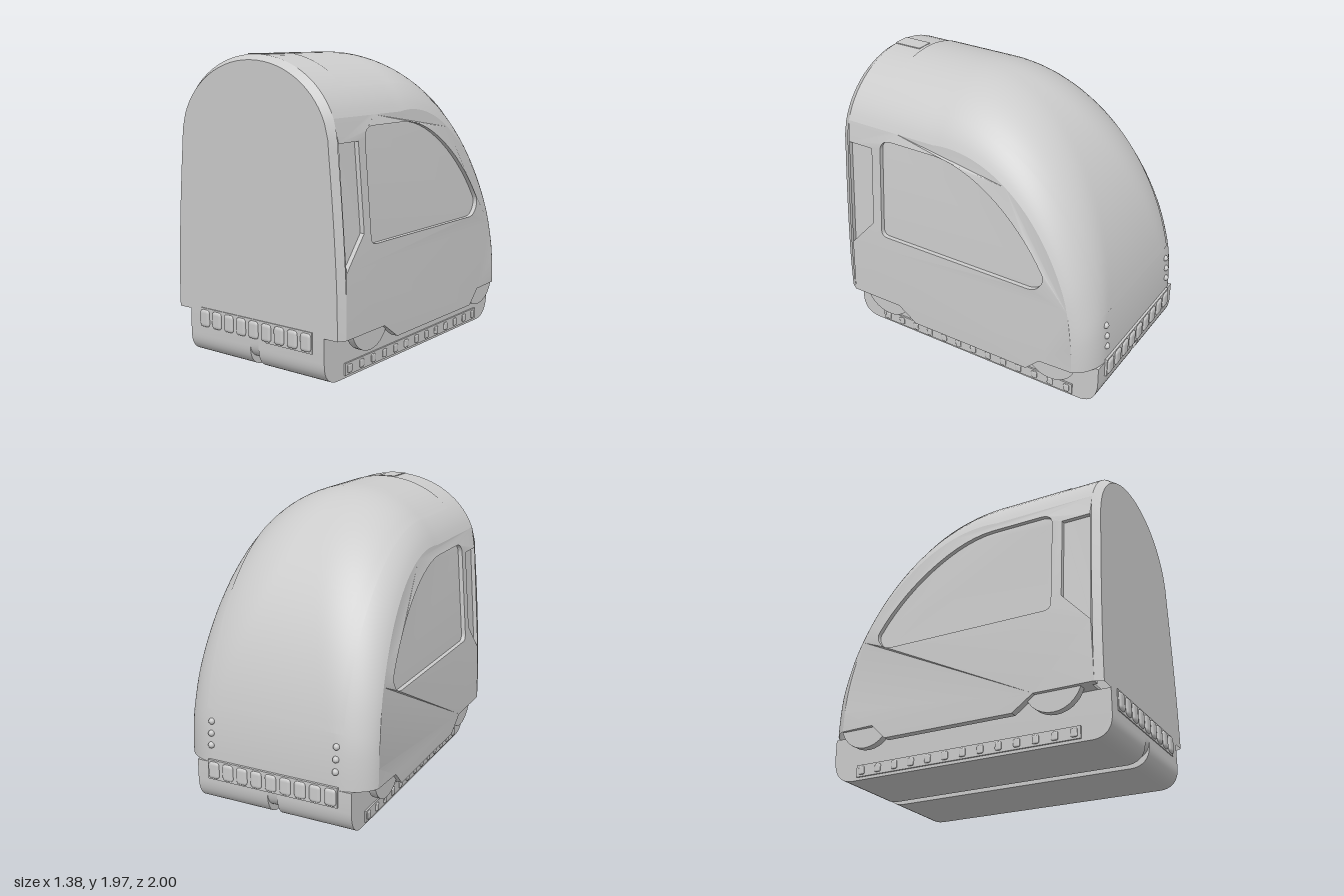
import * as THREE from 'three';
import { toCreasedNormals } from 'three/addons/utils/BufferGeometryUtils.js';
import { RoundedBoxGeometry } from 'three/addons/geometries/RoundedBoxGeometry.js';

const grey = new THREE.MeshStandardMaterial({ color: 0xcccccc, side: THREE.DoubleSide });
const BASE = 0.3, RISE = 1.665, REACH = 1.22, SWEEP_Z = 0.25; // ellipse of the back sweep
const SEAM = 0.3; // how far up the corner curve the side wall meets the roof shell

// Half width of the lower body at a given height
const halfWidth = y => 0.69 - 0.075 * Math.pow(Math.max(0, (y - 0.45) / 1.1), 1.5);

// Corner of the cross-section at sweep fraction f (0 upright, 1 level at the back):
// a round arch at the front that turns into tighter corners behind
function corner(f) {
  const ry = 0.31 - 0.15 * Math.min(1, f * 1.3);
  const w = halfWidth(BASE + (1 - ry) * RISE * Math.cos(f * Math.PI / 2));
  const rx = w * (1 - 0.64 * Math.min(1, 1.2 * Math.pow(f, 1.5)));
  return { ry, w, rx };
}

// Cross-section at t: straight roof first, then the sweep down the back
function station(t) {
  const f = Math.max(0, (t - 0.25) / 0.75), a = f * Math.PI / 2;
  const cz = SWEEP_Z + 0.68 * Math.max(0, 1 - t / 0.25);
  const at = rho => [BASE + rho * RISE * Math.cos(a), cz - rho * REACH * Math.sin(a)];
  return { at, ...corner(f) };
}

// Half width of the body surface at a point seen from the side
function surfaceX(z, y) {
  const dy = Math.max(0, (y - BASE) / RISE), dz = Math.max(0, (SWEEP_Z - z) / REACH);
  const { ry, w, rx } = corner(Math.atan2(dz, dy) / (Math.PI / 2));
  const d = (Math.hypot(dy, dz) - 1 + ry) / ry;
  return d > 0 ? w - rx + rx * Math.sqrt(Math.max(0, 1 - d * d)) : halfWidth(y);
}

// Outline of a cross-section from the left seam over the top to the right seam
function arch({ at, ry, rx, w }) {
  const half = [], a0 = Math.asin(SEAM);
  for (let k = 0; k <= 14; k++) {
    const a = a0 + (k / 14) * (Math.PI / 2 - a0), [y, z] = at(1 - ry + ry * Math.sin(a));
    half.push([w - rx + rx * Math.cos(a), y, z]);
  }
  return [...half, ...half.slice().reverse().map(([x, y, z]) => [-x, y, z])];
}

// Smooth surface through rows of points
function skin(rows) {
  const cols = rows[0].length, index = [];
  for (let i = 0; i < rows.length - 1; i++) for (let j = 0; j < cols - 1; j++) {
    const a = i * cols + j, c = a + cols;
    index.push(a, c, a + 1, a + 1, c, c + 1);
  }
  const g = new THREE.BufferGeometry();
  g.setAttribute('position', new THREE.Float32BufferAttribute(rows.flat(2), 3));
  g.setIndex(index);
  g.computeVertexNormals();
  return g;
}

// Side panel from [z, y] outlines, bent to follow the body surface
function sidePanel(s, outline, holes, outer, thick) {
  const v = pts => pts.map(([z, y]) => new THREE.Vector2(-s * z, y));
  const shape = new THREE.Shape(v(outline));
  for (const h of holes) shape.holes.push(new THREE.Path(v(h)));
  const g = new THREE.ExtrudeGeometry(shape, { depth: thick, bevelEnabled: false });
  const p = g.attributes.position;
  for (let i = 0; i < p.count; i++) {
    const z = -s * p.getX(i), y = p.getY(i), e = p.getZ(i);
    p.setXYZ(i, s * (surfaceX(z, y) + outer - thick + e), y, z);
  }
  g.computeVertexNormals();
  return toCreasedNormals(g, 0.5);
}

export function createModel() {
  const model = new THREE.Group();
  const add = (name, geometry, x = 0, y = 0, z = 0) => {
    const m = new THREE.Mesh(geometry, grey);
    m.name = name;
    m.position.set(x, y, z);
    model.add(m);
    return m;
  };
  const N = 48, stations = Array.from({ length: N + 1 }, (_, i) => station(i / N));

  // Roof and back shell
  add('roofShell', skin(stations.map(arch)));

  // Slightly raised glass panel over the roof and back
  const glass = stations.slice(4, 44).map(({ at, ry, rx, w }) => Array.from({ length: 25 }, (_, j) => {
    const x = 0.49 * (1 - j / 12), d = Math.max(0, (Math.abs(x) - w + rx) / rx);
    const [y, z] = at((1 - ry + ry * Math.sqrt(1 - d * d)) * 1.003);
    return [x, y, z];
  }));
  add('rearGlass', skin(glass));

  // Flat front plate and the chamfered rim around it
  const rim = arch(stations[0]);
  const sideEdge = Array.from({ length: 14 }, (_, k) => {
    const y = BASE + (rim[0][1] - BASE) * k / 14;
    return [surfaceX(0.93, y), y, 0.93];
  });
  const outerRim = [...sideEdge, ...rim, ...sideEdge.slice().reverse().map(([x, y, z]) => [-x, y, z])];
  const innerRim = outerRim.map(([x, y]) => [x * 0.955, BASE + (y - BASE) * 0.98, 0.98]);
  add('frontRim', skin([innerRim, outerRim]));
  add('frontPlate', new THREE.ShapeGeometry(
    new THREE.Shape(innerRim.map(([x, y]) => new THREE.Vector2(x, y)))), 0, 0, 0.98);
  add('roofCatch', new THREE.BoxGeometry(0.12, 0.06, 0.2), 0, 1.938, 0.83);

  // Side walls with recessed windows and front pillars
  const wallEdge = stations.map(({ at, ry }) => at(1 - ry + ry * SEAM)).map(([y, z]) => [z, y]);
  const wall = [...wallEdge, [-0.6, 0.3], [-0.5, 0.2], [0.4, 0.2], [0.54, 0.3], [0.93, 0.3]];
  const pane = new THREE.Path();
  pane.moveTo(0.61, 0.83).quadraticCurveTo(0.66, 0.83, 0.66, 0.88).lineTo(0.66, 1.46)
    .quadraticCurveTo(0.66, 1.54, 0.57, 1.54).lineTo(0.22, 1.54)
    .bezierCurveTo(-0.08, 1.53, -0.42, 1.27, -0.6, 0.96)
    .quadraticCurveTo(-0.62, 0.92, -0.58, 0.87).quadraticCurveTo(-0.55, 0.83, -0.49, 0.83);
  const windowEdge = pane.getPoints(14).map(p => [p.x, p.y]);
  const pillar = [[0.92, 0.7], [0.92, 1.46], [0.73, 1.46], [0.73, 0.91]];

  const stud = new RoundedBoxGeometry(0.045, 0.06, 0.04, 2, 0.012);
  const dot = new THREE.SphereGeometry(0.022, 10, 8);
  const wheel = new THREE.CylinderGeometry(0.19, 0.19, 0.05, 32).rotateZ(Math.PI / 2);
  for (const s of [1, -1]) {
    const side = s > 0 ? 'left' : 'right';
    add(side + 'Wall', sidePanel(s, wall, [windowEdge, pillar], 0, 0.05));
    add(side + 'Window', sidePanel(s, windowEdge, [], -0.03, 0.02));
    add(side + 'Pillar', sidePanel(s, pillar, [], -0.03, 0.02));
    for (const z of [0.655, -0.665]) {
      add(side + 'Wheel', wheel, s * 0.637, 0.36, z);
      add(side + 'Axle', new THREE.BoxGeometry(0.12, 0.07, 0.08), s * 0.59, 0.255, z);
    }
    // Row of lamps low on the side
    add(side + 'LampStrip', new THREE.BoxGeometry(0.02, 0.078, 1.57), s * 0.561, 0.058, 0);
    for (let i = -6; i <= 6; i++)
      add(side + 'Lamp', stud, s * 0.569, 0.058, i * 0.124).scale.set(0.5, 0.9, 1.1);
    // Small studs on the back corners
    for (const [y, z] of [[0.42, -0.967], [0.5, -0.961], [0.58, -0.952]])
      add(side + 'RearStud', dot, s * 0.45, y, z);
  }

  // Lamp rows at the front and back
  for (const s of [1, -1]) {
    const end = s > 0 ? 'front' : 'rear';
    add(end + 'LampStrip', new THREE.BoxGeometry(0.94, 0.135, 0.02), 0, 0.255, s * 0.976);
    for (let i = -4; i <= 4; i++)
      add(end + 'Lamp', stud, i * 0.106, 0.255, s * 0.98).scale.set(1.75, 1.9, 1);
  }

  // Chassis: two rounded halves with a shallow groove along the middle
  const keel = new THREE.Shape();
  keel.moveTo(-0.97, 0.3).lineTo(-0.97, 0.16).quadraticCurveTo(-0.96, 0, -0.82, 0)
    .lineTo(0.86, 0).quadraticCurveTo(0.98, 0.01, 0.98, 0.14).lineTo(0.98, 0.3);
  const half = new THREE.ExtrudeGeometry(keel, { depth: 0.525, bevelEnabled: false, curveSegments: 10 });
  half.rotateY(-Math.PI / 2); // profile x becomes z, depth runs towards -x
  const chassis = toCreasedNormals(half, 0.5);
  add('chassisLeft', chassis, 0.56, 0, 0);
  add('chassisRight', chassis, -0.035, 0, 0);
  add('chassisSpine', chassis, 0.035, 0.05, 0).scale.set(0.07 / 0.525, 0.83, 1);
  add('floor', new THREE.BoxGeometry(1.3, 0.02, 1.68), 0, 0.31, 0.06);
  return model;
}
